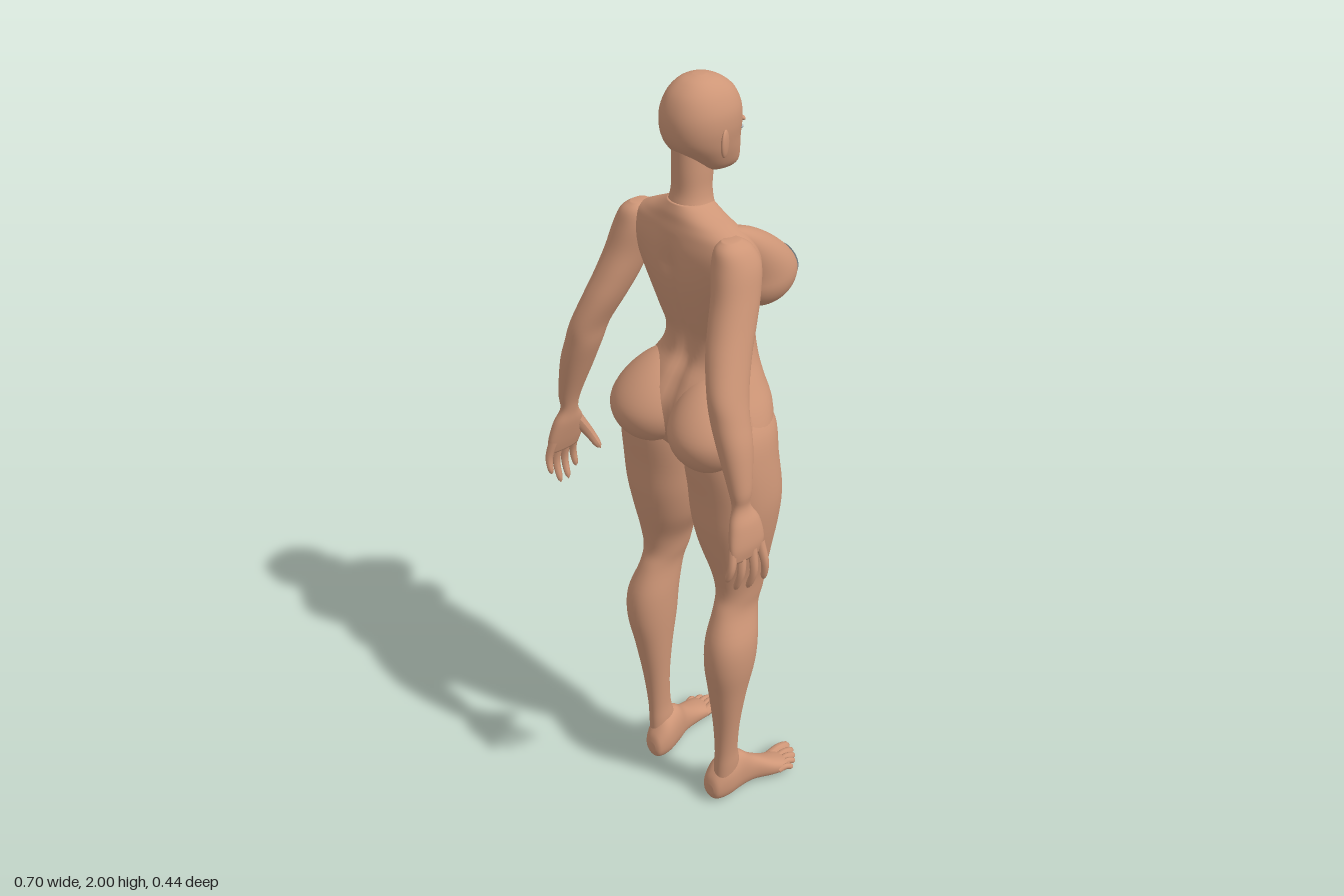
import * as THREE from 'three';

const skin = new THREE.MeshStandardMaterial({ color: 0xce9677 });
skin.name = 'skin';
const grey = new THREE.MeshStandardMaterial({ color: 0xb0bcc2, side: THREE.DoubleSide });
grey.name = 'pale grey';

// Turn the faces of a closed skin outward and set smooth normals
function finish(geo) {
  const p = geo.attributes.position, idx = geo.index.array;
  const a = new THREE.Vector3(), b = new THREE.Vector3(), c = new THREE.Vector3();
  let volume = 0;
  for (let i = 0; i < idx.length; i += 3) {
    a.fromBufferAttribute(p, idx[i]);
    b.fromBufferAttribute(p, idx[i + 1]);
    c.fromBufferAttribute(p, idx[i + 2]);
    volume += a.dot(b.cross(c));
  }
  if (volume < 0) for (let i = 0; i < idx.length; i += 3) [idx[i], idx[i + 1]] = [idx[i + 1], idx[i]];
  geo.computeVertexNormals();
  return geo;
}

function cubic(a, b, c, d, t) {
  const u = (c - a) / 2, v = (d - b) / 2;
  return b + u * t + (3 * (c - b) - 2 * u - v) * t * t + (2 * (b - c) + u + v) * t * t * t;
}

// Closed skin through rounded sections; row = [position, min x, max x, min depth, max depth]
function loft(rows, side = 1, { along = 'y', shape = null, sides = 40, steps = 5 } = {}) {
  const pos = [], index = [], rings = (rows.length - 1) * steps + 1, n = 2.2;
  const put = (t, x, d) => pos.push(x * side, along === 'y' ? t : d, along === 'y' ? d : t);
  const row = i => rows[Math.min(Math.max(i, 0), rows.length - 1)];
  const ends = [];
  for (let r = 0; r < rings; r++) {
    const i = Math.min(Math.floor(r / steps), rows.length - 2), f = r / steps - i;
    const [t, x0, x1, d0, d1] = row(i).map((_, k) =>
      cubic(row(i - 1)[k], row(i)[k], row(i + 1)[k], row(i + 2)[k], f));
    const cx = (x0 + x1) / 2, cd = (d0 + d1) / 2;
    if (r === 0 || r === rings - 1) ends.push([t, cx, cd]);
    for (let s = 0; s < sides; s++) {
      const a = s / sides * Math.PI * 2, co = Math.cos(a), si = Math.sin(a);
      const x = cx + (x1 - x0) / 2 * Math.sign(co) * Math.abs(co) ** (2 / n);
      const d = cd + (d1 - d0) / 2 * Math.sign(si) * Math.abs(si) ** (2 / n);
      put(t, x, shape ? shape(t, x, d, cd) : d);
      if (r < rings - 1) {
        const q = r * sides + s, w = r * sides + (s + 1) % sides;
        index.push(q, w, q + sides, w, w + sides, q + sides);
      }
    }
  }
  ends.forEach(e => put(...e));
  for (let s = 0; s < sides; s++) {
    const w = (s + 1) % sides, last = (rings - 1) * sides;
    index.push(w, s, rings * sides, last + s, last + w, rings * sides + 1);
  }
  const geo = new THREE.BufferGeometry();
  geo.setAttribute('position', new THREE.Float32BufferAttribute(pos, 3));
  geo.setIndex(index);
  return finish(geo);
}

// Tapered, round-tipped tube for fingers, toes and nose
function digit(points, r0, r1, side = 1) {
  const curve = new THREE.CatmullRomCurve3(points.map(([x, y, z]) => new THREE.Vector3(x * side, y, z)));
  const segs = 16, geo = new THREE.TubeGeometry(curve, segs, 1, 10), p = geo.attributes.position;
  const v = new THREE.Vector3();
  for (let i = 0; i < p.count; i++) {
    const t = Math.floor(i / 11) / segs, c = curve.getPointAt(t);
    const round = t > 0.8 ? Math.sqrt(Math.max(0, 1 - ((t - 0.8) / 0.2) ** 2)) : 1;
    v.fromBufferAttribute(p, i).sub(c).multiplyScalar((r0 + (r1 - r0) * t) * round).add(c);
    p.setXYZ(i, v.x, v.y, v.z);
  }
  geo.computeVertexNormals();
  return geo;
}

// Drawn-out ellipsoid: the upper half stretches to height up and leans along x and z
function blob(rx, up, down, rz, leanX = 0, leanZ = 0, ball = new THREE.SphereGeometry(1, 40, 28)) {
  const p = ball.attributes.position;
  for (let i = 0; i < p.count; i++) {
    const y = p.getY(i), h = Math.max(y, 0);
    p.setXYZ(i, p.getX(i) * rx + leanX * h * h, y * (down + (up - down) * h), p.getZ(i) * rz + leanZ * h * h);
  }
  ball.computeVertexNormals();
  return ball;
}

// Symmetric rows: [y, half width, front z, back z]
const even = rows => rows.map(([y, w, f, b]) => [y, -w, w, f, b]);

const TORSO = even([
  [1.725, .045, -.015, .078], [1.705, .082, -.022, .086], [1.685, .125, -.03, .09],
  [1.66, .168, -.045, .095], [1.62, .184, -.07, .1], [1.56, .165, -.1, .098],
  [1.5, .142, -.115, .087], [1.44, .125, -.125, .07], [1.385, .112, -.125, .054],
  [1.33, .125, -.125, .055], [1.28, .152, -.13, .085], [1.22, .185, -.14, .115],
  [1.16, .203, -.125, .118], [1.1, .19, -.105, .09], [1.06, .11, -.085, .06],
  [1.03, .03, -.05, .03]]);
const NECK = even([
  [1.88, .04, -.03, .07], [1.8, .042, -.027, .07], [1.75, .043, -.022, .07],
  [1.715, .052, -.023, .078], [1.67, .08, -.02, .085]]);
const HEAD = even([
  [2, .012, -.01, .014], [1.99, .04, -.045, .045], [1.965, .064, -.078, .072],
  [1.93, .079, -.094, .087], [1.895, .082, -.096, .09], [1.86, .077, -.094, .082],
  [1.83, .069, -.096, .06], [1.8, .056, -.099, .03], [1.785, .04, -.096, 0],
  [1.775, .02, -.088, -.045]]);
const COVER = even([
  [1.14, .05, -.114, -.08], [1.115, .048, -.117, -.07], [1.085, .036, -.109, -.06],
  [1.055, .018, -.092, -.04], [1.03, .008, -.07, -.03]]);
const ARM = [
  [1.678, .13, .162, .025, .07], [1.66, .115, .187, 0, .09], [1.62, .11, .208, -.015, .102],
  [1.56, .125, .222, 0, .117], [1.5, .14, .235, .025, .14], [1.44, .16, .25, .055, .165],
  [1.37, .19, .27, .085, .188], [1.315, .205, .287, .1, .192], [1.25, .23, .306, .11, .193],
  [1.155, .268, .318, .13, .187], [1.11, .28, .315, .135, .183], [1.07, .285, .33, .115, .2],
  [1.02, .298, .338, .108, .212], [.985, .31, .334, .118, .21]];
const LEG = [
  [1.25, .04, .16, -.08, .09], [1.18, .01, .203, -.108, .112], [1.1, 0, .22, -.108, .115],
  [1, .002, .228, -.115, .102], [.92, .01, .222, -.108, .095], [.84, .03, .208, -.095, .08],
  [.76, .068, .19, -.085, .062], [.7, .083, .182, -.075, .055], [.65, .092, .18, -.06, .072],
  [.57, .088, .202, -.045, .1], [.49, .088, .203, -.035, .103], [.39, .093, .187, -.015, .085],
  [.28, .1, .17, -.003, .068], [.18, .104, .157, -.005, .06], [.12, .1, .155, -.015, .06],
  [.05, .1, .15, -.01, .06]];
// Foot rows run heel to toe: [z, inner x, outer x, bottom, top]
const FOOT = [
  [.075, .1, .13, .03, .06], [.065, .085, .145, .008, .09], [.03, .078, .158, 0, .13],
  [-.02, .09, .16, .005, .135], [-.06, .105, .165, .01, .1], [-.11, .113, .184, .006, .068],
  [-.15, .115, .193, .006, .048], [-.17, .122, .188, .012, .038]];
const FINGERS = [
  [[.325, 1.01, .125], [.34, .95, .12], [.333, .9, .118]],
  [[.325, 1.01, .15], [.335, .94, .152], [.318, .886, .156]],
  [[.32, 1.01, .178], [.327, .95, .185], [.31, .893, .188]],
  [[.315, 1.02, .2], [.322, .97, .212], [.31, .93, .216]]];
const THUMB = [[.308, 1.07, .135], [.295, 1.01, .1], [.275, .965, .082]];
const TOES = [ // base x, base z, tip x, tip z, radius
  [.127, -.145, .13, -.222, .0135], [.146, -.145, .151, -.218, .0095], [.16, -.145, .169, -.206, .009],
  [.173, -.14, .184, -.19, .0085], [.184, -.125, .197, -.168, .008]];

export function createModel() {
  const model = new THREE.Group();
  const add = (name, geo, at = [0, 0, 0], mat = skin) => {
    const mesh = new THREE.Mesh(geo, mat);
    mesh.name = name;
    mesh.position.set(...at);
    model.add(mesh);
    return mesh;
  };

  // Torso with a shallow groove along the spine
  add('torso', loft(TORSO, 1, {
    shape: (y, x, z, mid) => z > mid && y < 1.66 ? z - .016 * Math.exp(-((x / .022) ** 2)) * Math.min(1, (1.66 - y) * 12) : z,
    sides: 72,
  }));
  add('neck', loft(NECK));
  add('lowerCover', loft(COVER), [0, 0, 0], grey);

  // Head and face
  add('head', loft(HEAD));
  add('nose', digit([[0, 1.885, -.089], [0, 1.855, -.098], [0, 1.824, -.107]], .007, .013));
  add('upperLip', blob(.02, .006, .006, .009), [0, 1.808, -.095]);
  add('lowerLip', blob(.017, .007, .006, .01), [0, 1.798, -.094]);

  for (const s of [1, -1]) {
    const side = s > 0 ? 'left' : 'right';
    add(side + 'Eye', blob(.015, .007, .006, .008), [s * .034, 1.87, -.084], grey);
    add(side + 'Brow', blob(.022, .007, .007, .008), [s * .034, 1.89, -.0835]);
    const ear = add(side + 'Ear', blob(.007, .034, .032, .019), [s * .086, 1.866, .008]);
    ear.rotation.set(.15, s * .45, s * -.12);

    // Chest drawn up toward the shoulder, with its round cover
    const chest = [s * .086, 1.532, -.105];
    add(side + 'Chest', blob(.08, .15, .082, .097, s * .03, .11), chest);
    const cap = new THREE.SphereGeometry(1, 36, 12, 0, Math.PI * 2, 0, .49);
    cap.rotateX(-Math.PI / 2 - .08).rotateY(s * -.1);
    add(side + 'ChestCover', blob(.0825, .154, .0845, .1, s * .03, .11, cap), chest, grey);

    add(side + 'Buttock', blob(.104, .14, .098, .105, s * -.02, -.045), [s * .1, 1.175, .058]);

    // Arm and hand
    add(side + 'Arm', loft(ARM, s));
    FINGERS.forEach(f => add(side + 'Finger', digit(f, .012, .0075, s)));
    add(side + 'Thumb', digit(THUMB, .018, .009, s));

    // Leg, foot and toes
    add(side + 'Leg', loft(LEG, s));
    add(side + 'Foot', loft(FOOT, s, { along: 'z' }));
    TOES.forEach(([x0, z0, x1, z1, r]) => add(side + 'Toe',
      digit([[x0, .028, z0], [(x0 + x1) / 2, .033, (z0 + z1) / 2], [x1, .022, z1]], r * 1.1, r, s)));
  }
  return model;
}
